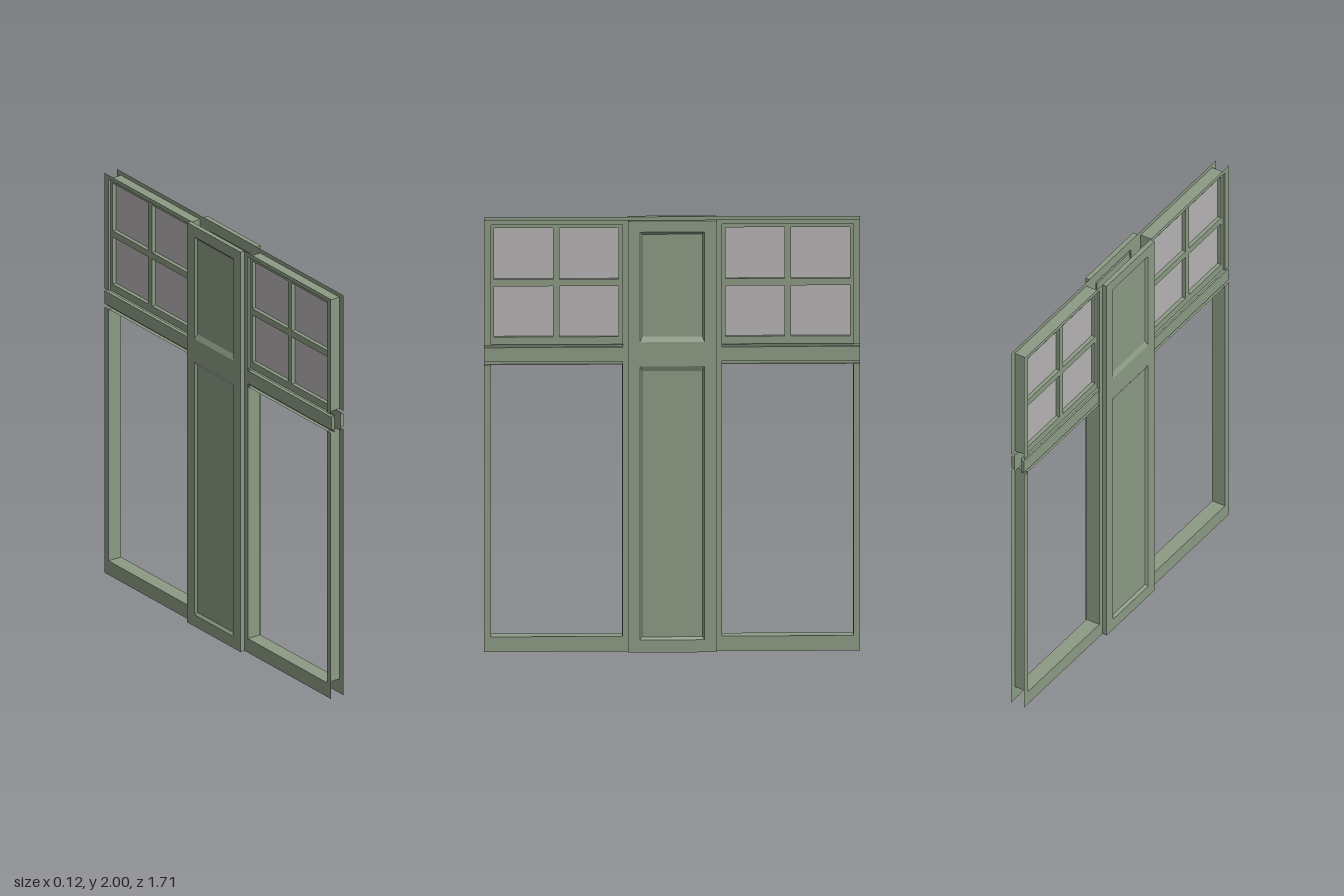
import * as THREE from 'three';

const green = new THREE.MeshStandardMaterial({ color: 0x8b9a84, side: THREE.DoubleSide });
green.name = 'sage green paint';
const glass = new THREE.MeshStandardMaterial({ color: 0xb5b2b4, side: THREE.DoubleSide });
glass.name = 'grey glass';

// Half-thickness of the wall and the levels of the openings
const WALL = 0.035, Z_IN = 0.226, Z_OUT = 0.822, Z_END = 0.853;
const DOOR = [Z_IN, Z_OUT, 0.07, 1.33];
const LIGHT = [Z_IN, Z_OUT, 1.422, 1.98];

function add(parent, name, geometry, material = green) {
  const mesh = new THREE.Mesh(geometry, material);
  mesh.name = name;
  parent.add(mesh);
  return mesh;
}

function box(parent, name, [x0, x1], [z0, z1, y0, y1], material) {
  const mesh = add(parent, name, new THREE.BoxGeometry(x1 - x0, y1 - y0, z1 - z0), material);
  mesh.position.set((x0 + x1) / 2, (y0 + y1) / 2, (z0 + z1) / 2);
  return mesh;
}

// Rectangles are [z0, z1, y0, y1]; the shape's x becomes the model's z
const corners = ([a, b, c, d]) => [[a, c], [b, c], [b, d], [a, d]].map(p => new THREE.Vector2(...p));

function plate(outer, holes, depth, xFront) {
  const shape = new THREE.Shape(corners(outer));
  holes.forEach(h => shape.holes.push(new THREE.Path(corners(h).reverse())));
  const g = depth
    ? new THREE.ExtrudeGeometry(shape, { depth, bevelEnabled: false })
    : new THREE.ShapeGeometry(shape);
  return g.rotateY(-Math.PI / 2).translate(xFront, 0, 0);
}

// Four flat strips joining one rectangle to another at a different depth
function ring(rectA, xA, rectB, xB) {
  const a = corners(rectA), b = corners(rectB), pos = [];
  for (let i = 0; i < 4; i++) {
    const j = (i + 1) % 4;
    const q = [[xA, a[i]], [xA, a[j]], [xB, b[j]], [xB, b[i]]];
    for (const k of [0, 1, 2, 0, 2, 3]) pos.push(q[k][0], q[k][1].y, q[k][1].x);
  }
  const g = new THREE.BufferGeometry();
  g.setAttribute('position', new THREE.Float32BufferAttribute(pos, 3));
  g.computeVertexNormals();
  return g;
}

// Central pilaster with two recessed, bevelled panels
function pilaster() {
  const group = new THREE.Group();
  group.name = 'pilaster';
  const front = 0.058, back = 0.047;
  const panels = [
    [[-0.146, 0.146, 0.058, 1.326], [-0.137, 0.137, 0.07, 1.302]],
    [[-0.146, 0.146, 1.438, 1.948], [-0.137, 0.137, 1.462, 1.936]],
  ];
  add(group, 'pilasterFrame', plate([-0.2, 0.2, 0, 2], panels.map(p => p[0]), front - WALL, front));
  for (const [outer, inner] of panels) {
    add(group, 'panelBevel', ring(outer, front, inner, back));
    box(group, 'panelField', [WALL, back], inner);
  }
  return group;
}

// One face of a side bay: wall skin and recessed transom rail
function baySkin() {
  const group = new THREE.Group();
  group.name = 'baySkin';
  add(group, 'lowerFrame', plate([0.2, Z_END, 0, 1.33], [DOOR.slice(0, 3).concat(1.3299)], 0, WALL));
  add(group, 'upperFrame', plate([0.2, Z_END, 1.422, 2], [[Z_IN, Z_OUT, 1.4221, 1.98]], 0, WALL));
  add(group, 'transomStile', plate([0.2, Z_IN, 1.33, 1.422], [], 0, WALL));
  add(group, 'transomBack', plate([Z_IN, Z_END, 1.33, 1.422], [], 0, 0.017));
  box(group, 'transomRail', [0.017, 0.034], [Z_IN, Z_END, 1.345, 1.41]);
  return group;
}

// Linings, sash and glass that run through the thickness of a bay
function bayCore() {
  const group = new THREE.Group();
  group.name = 'bayCore';
  add(group, 'openingLining', ring(DOOR, WALL, DOOR, -WALL));
  add(group, 'windowLining', ring(LIGHT, WALL, LIGHT, -WALL));
  const panes = [];
  for (const z of [[0.243, 0.51], [0.54, 0.807]])
    for (const y of [[1.457, 1.692], [1.724, 1.962]]) panes.push([...z, ...y]);
  add(group, 'sash', plate(LIGHT, panes, 0.046, 0.023));
  panes.forEach(p => box(group, 'pane', [-0.004, 0.004], p, glass));
  return group;
}

export function createModel() {
  const model = new THREE.Group();
  model.name = 'panelledWindowWall';
  // Two faces, back to back, each with two mirrored bays
  for (const turn of [0, Math.PI]) {
    const face = new THREE.Group();
    face.name = turn ? 'rightFace' : 'leftFace';
    const mirrored = baySkin();
    mirrored.scale.z = -1;
    face.add(pilaster(), baySkin(), mirrored);
    face.rotation.y = turn;
    const core = bayCore();
    core.rotation.y = turn;
    model.add(face, core);
  }
  return model;
}
